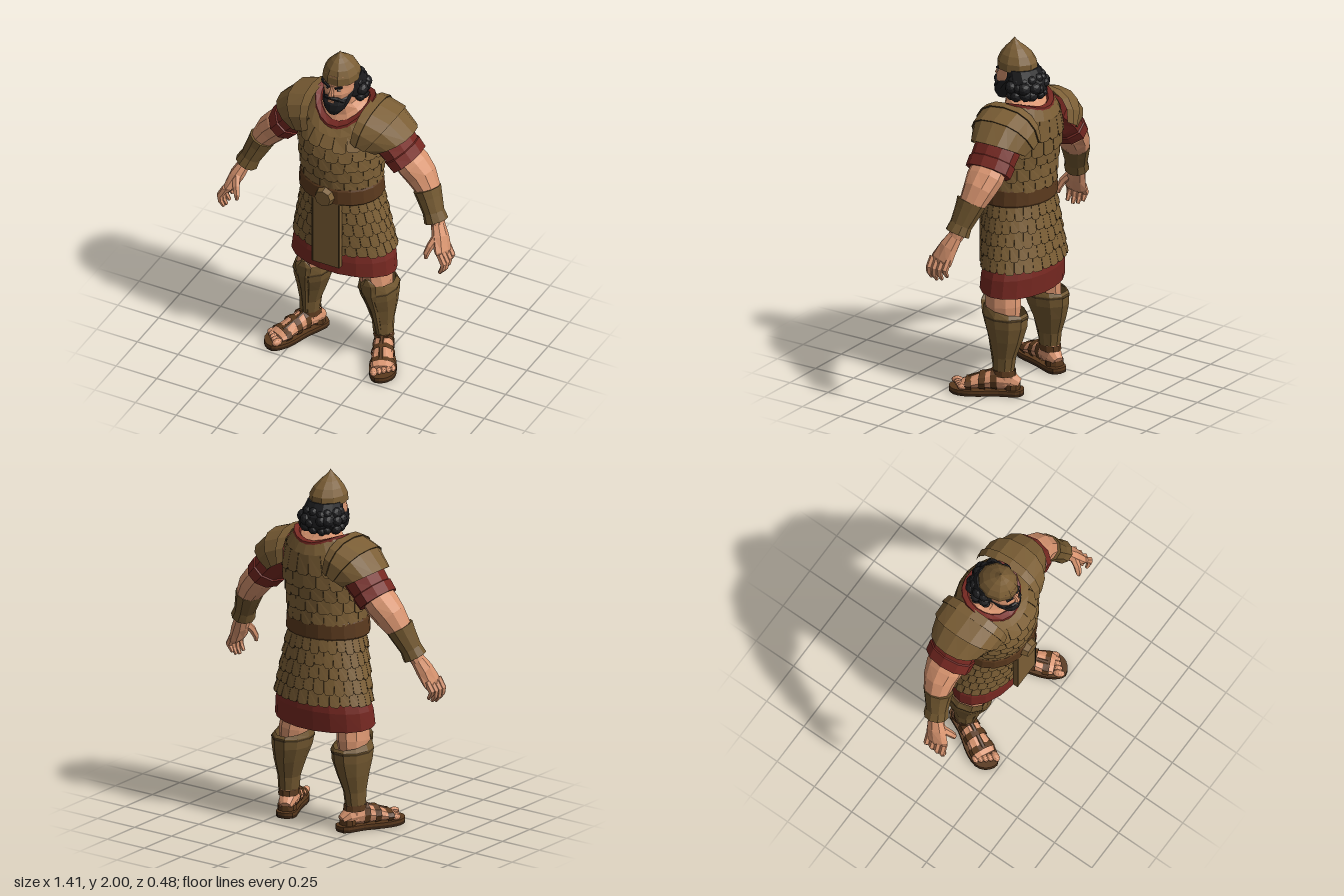
import * as THREE from 'three';

const V = (x, y, z) => new THREE.Vector3(x, y, z);
const mat = (name, color, side = THREE.FrontSide) => {
  const m = new THREE.MeshStandardMaterial({ color, side });
  m.name = name;
  return m;
};

// faceted geometry from a list of triangle corners
function faceted(points) {
  const g = new THREE.BufferGeometry().setFromPoints(points);
  g.computeVertexNormals();
  return g;
}

// skin over rows of points
function grid(rows) {
  const out = [];
  for (let i = 0; i + 1 < rows.length; i++)
    for (let j = 0; j + 1 < rows[i].length; j++) {
      const a = rows[i][j], b = rows[i][j + 1], c = rows[i + 1][j], d = rows[i + 1][j + 1];
      out.push(a, b, c, b, d, c);
    }
  return out;
}

// slope tips a section forward, rise lifts its sides
const warp = (p, slope = 0, rise = 0) => {
  p.y += rise * p.x * p.x - slope * p.z;
  return p;
};

// elliptical sections [x, y, z, halfWidth, halfDepth, slope, rise]; axis fixes the section normal
function loft(stations, { n = 10, caps = true, axis = null, ref = V(0, 0, 1) } = {}) {
  const c = stations.map(s => V(s[0], s[1], s[2]));
  const rows = stations.map((s, i) => {
    const t = axis || c[Math.min(i + 1, c.length - 1)].clone().sub(c[Math.max(i - 1, 0)]).normalize();
    const u = t.clone().cross(ref).normalize(), w = t.clone().cross(u);
    return Array.from({ length: n + 1 }, (_, j) => {
      const a = (j % n) / n * Math.PI * 2;
      const p = c[i].clone().addScaledVector(u, s[3] * Math.cos(a)).addScaledVector(w, s[4] * Math.sin(a));
      return warp(p, s[5], s[6]);
    });
  });
  const out = grid(rows), last = rows.length - 1;
  if (caps) for (let j = 0; j < n; j++) {
    const mid = r => r.slice(0, n).reduce((m, p) => m.add(p), V(0, 0, 0)).divideScalar(n);
    out.push(mid(rows[0]), rows[0][j + 1], rows[0][j], mid(rows[last]), rows[last][j], rows[last][j + 1]);
  }
  return faceted(out);
}
const UP = V(0, 1, 0);

// point on an upright body of sections, pushed outward
function bodyPoint(st, y, a, push) {
  let i = 0;
  while (i < st.length - 2 && y > st[i + 1][1]) i++;
  const k = (y - st[i][1]) / (st[i + 1][1] - st[i][1]);
  const m = q => THREE.MathUtils.lerp(st[i][q] || 0, st[i + 1][q] || 0, k);
  return warp(V((m(3) + push) * Math.sin(a), y, m(2) + (m(4) + push) * Math.cos(a)), m(5), m(6));
}

export function createModel() {
  const model = new THREE.Group();
  model.name = 'armouredWarrior';
  const M = {
    bronze: mat('bronze', 0x7b5e35, THREE.DoubleSide),
    aged: mat('agedBronze', 0x70562f, THREE.DoubleSide),
    dark: mat('darkBronze', 0x44341d, THREE.DoubleSide),
    red: mat('redCloth', 0x762821, THREE.DoubleSide),
    skin: mat('skin', 0xd8946f),
    hair: mat('blackHair', 0x1d1d1f),
    leather: mat('leather', 0x5a391d, THREE.DoubleSide),
    sole: mat('darkSole', 0x382414),
    white: mat('eyeWhite', 0xd8d0c4),
  };
  let seed = 7;
  const rnd = () => (seed = (seed * 16807) % 2147483647) / 2147483647;

  function add(name, geo, material, parent = model) {
    const g = geo.index ? geo.toNonIndexed() : geo;
    g.computeVertexNormals();
    const mesh = new THREE.Mesh(g, material);
    mesh.name = name;
    parent.add(mesh);
    return mesh;
  }
  const upright = (name, st, material, n = 16, caps = true, parent = model) =>
    add(name, loft(st, { n, caps, axis: UP }), material, parent);

  // overlapping scale rows on a body
  function scales(name, st, top, bottom, count, per) {
    const face = [], lip = [], h = (top - bottom) / count;
    const outline = [[-1, 0], [-1, 0.84], [-0.6, 1], [0.6, 1], [1, 0.86], [1, 0]];
    for (let r = 0; r < count; r++)
      for (let k = 0; k < per; k++) {
        const mid = (k + (r % 2) / 2) / per * Math.PI * 2, drop = h * (1 + 0.25 * rnd());
        const at = ([u, v], push) =>
          bodyPoint(st, Math.max(top - r * h - v * drop, bottom - 0.01), mid + u * 0.485 / per * Math.PI * 2, push);
        const o = outline.map(q => at(q, 0.004 + 0.011 * q[1])), b = outline.map(q => at(q, -0.002));
        for (let i = 1; i < 5; i++) face.push(o[0], o[i], o[i + 1]);
        for (let i = 0; i < 5; i++) lip.push(o[i], b[i], b[i + 1], o[i], b[i + 1], o[i + 1]);
      }
    add(name, faceted(face), M.bronze);
    add(name + 'Edges', faceted(lip), M.dark);
  }

  // cuirass, skirt and tunic
  const torso = [[0, 1.12, 0, 0.213, 0.182], [0, 1.3, 0.008, 0.232, 0.2], [0, 1.42, -0.005, 0.244, 0.212],
    [0, 1.48, -0.015, 0.246, 0.204, 0.08], [0, 1.535, -0.028, 0.215, 0.19, 0.18, 1.2], [0, 1.572, -0.035, 0.165, 0.162, 0.28, 3]];
  const skirt = [[0, 0.73, -0.032, 0.291, 0.188], [0, 0.92, -0.015, 0.255, 0.184], [0, 1.12, 0, 0.214, 0.178]];
  upright('cuirassBacking', torso, M.bronze, 20, false);
  scales('cuirassScales', torso, 1.535, 1.18, 5, 20);
  upright('skirtBacking', skirt, M.dark, 20, false);
  scales('skirtScales', skirt, 1.1, 0.73, 5, 28);
  upright('tunicHem', [[0, 0.585, -0.02, 0.312, 0.186, -0.08], [0, 0.68, -0.025, 0.302, 0.186], [0, 0.76, -0.028, 0.275, 0.17]], M.red, 18, false);
  upright('collar', [[0, 1.56, -0.034, 0.17, 0.164, 0.28, 3], [0, 1.585, -0.034, 0.166, 0.158, 0.28, 3], [0, 1.598, -0.034, 0.138, 0.128, 0.28, 3], [0, 1.58, -0.034, 0.12, 0.11, 0.28, 3]], M.red, 18, false);
  upright('neck', [[0, 1.575, -0.034, 0.142, 0.132, 0.28, 3], [0, 1.615, -0.03, 0.112, 0.105, 0.24, 3], [0, 1.67, -0.015, 0.08, 0.085, 0.12], [0, 1.8, 0, 0.072, 0.08]], M.skin, 12);

  // belt, buckle and hanging panel
  upright('belt', [[0, 1.09, 0.008, 0.24, 0.2], [0, 1.1, 0.008, 0.245, 0.205], [0, 1.18, 0.008, 0.238, 0.203], [0, 1.19, 0.008, 0.232, 0.198]], M.leather, 20);
  const buckle = add('buckle', new THREE.CylinderGeometry(0.048, 0.058, 0.035, 8), M.bronze);
  buckle.position.set(0, 1.135, 0.222);
  buckle.rotation.x = Math.PI / 2;
  add('frontPanel', new THREE.BoxGeometry(0.17, 0.43, 0.03), M.bronze).position.set(0, 0.885, 0.188);
  for (const s of [1, -1])
    add('panelBorder', new THREE.BoxGeometry(0.005, 0.42, 0.006), M.dark).position.set(s * 0.08, 0.885, 0.202);

  // head and face
  const head = new THREE.Group();
  head.name = 'head';
  model.add(head);
  upright('face', [[0, 1.67, 0.06, 0.045, 0.06], [0, 1.73, 0.045, 0.076, 0.088], [0, 1.775, 0.037, 0.085, 0.1], [0, 1.805, 0.03, 0.085, 0.092], [0, 1.88, 0.02, 0.085, 0.1]], M.skin, 14, true, head);
  add('nose', loft([[0, 1.815, 0.118, 0.009, 0.01], [0, 1.785, 0.136, 0.012, 0.012], [0, 1.77, 0.142, 0.019, 0.014], [0, 1.762, 0.13, 0.014, 0.01]], { n: 6 }), M.skin, head);
  for (const s of [1, -1]) {
    const eye = add('eye', new THREE.SphereGeometry(0.01, 8, 6), M.white, head);
    eye.position.set(s * 0.034, 1.797, 0.113);
    eye.scale.set(1.2, 0.5, 0.6);
    add('pupil', new THREE.SphereGeometry(0.005, 6, 5), M.hair, head).position.set(s * 0.032, 1.797, 0.118);
    const brow = add('brow', new THREE.BoxGeometry(0.042, 0.009, 0.012), M.hair, head);
    brow.position.set(s * 0.036, 1.815, 0.117);
    brow.rotation.set(0, s * 0.35, s * 0.22);
    add('moustache', loft([[0, 1.752, 0.143, 0.009, 0.012], [s * 0.035, 1.748, 0.13, 0.011, 0.012], [s * 0.06, 1.725, 0.105, 0.008, 0.01]], { n: 6 }), M.hair, head);
  }
  upright('beard', [[0, 1.637, 0.105, 0.03, 0.03], [0, 1.67, 0.09, 0.06, 0.06], [0, 1.71, 0.072, 0.078, 0.078], [0, 1.74, 0.05, 0.085, 0.084], [0, 1.775, 0.015, 0.09, 0.075], [0, 1.83, 0, 0.09, 0.055]], M.hair, 12, true, head);
  add('lips', new THREE.BoxGeometry(0.036, 0.01, 0.008), M.skin, head).position.set(0, 1.73, 0.142);
  upright('hairBase', [[0, 1.68, -0.055, 0.09, 0.08], [0, 1.72, -0.05, 0.122, 0.105], [0, 1.77, -0.045, 0.118, 0.108], [0, 1.84, -0.02, 0.098, 0.09]], M.hair, 12, true, head);
  for (let r = 0; r < 3; r++)
    for (let k = 0; k < 9; k++) {
      const a = (k - 4 + (rnd() - 0.5) * 0.6) * 0.47, q = [0.102, 0.108, 0.092][r];
      const curl = add('curl', new THREE.IcosahedronGeometry(0.024 + rnd() * 0.014, 1), M.hair, head);
      curl.position.set(q * Math.sin(a), 1.7 + r * 0.042 + (rnd() - 0.5) * 0.02, -0.04 - (q - 0.008) * Math.cos(a));
    }

  // pointed helmet
  upright('helmet', [[0, 1.828, 0.012, 0.102, 0.117], [0, 1.87, 0.012, 0.1, 0.114], [0, 1.91, 0.015, 0.08, 0.092], [0, 1.945, 0.022, 0.05, 0.058], [0, 1.965, 0.027, 0.027, 0.032], [0, 1.985, 0.03, 0.01, 0.012], [0, 2, 0.03, 0.001, 0.001]], M.bronze, 10, true, head);

  for (const s of [1, -1]) {
    const side = new THREE.Group();
    side.name = s > 0 ? 'leftSide' : 'rightSide';
    model.add(side);
    const limb = (name, st, material, opt) =>
      add(name, loft(st.map(([x, ...r]) => [x * s, ...r]), opt), material, side);

    // layered shoulder guard: arched rings [baseX, baseY, topX, topY, z, halfDepth]
    const rings = [[0.13, 1.51, 0.152, 1.674, -0.032, 0.198], [0.165, 1.49, 0.205, 1.662, -0.036, 0.198],
      [0.21, 1.465, 0.315, 1.618, -0.042, 0.185], [0.255, 1.435, 0.402, 1.522, -0.05, 0.15]];
    const arch = (q, lift) => {
      const row = Array.from({ length: 9 }, (_, j) => {
        const a = Math.PI * (1 - j / 8), w = Math.sin(a) ** 0.85 * (1 + lift * 4);
        const c = Math.sign(Math.cos(a)) * Math.abs(Math.cos(a)) ** 0.85;
        return V(s * (q[0] + (q[2] - q[0]) * w), q[1] + (q[3] - q[1]) * w, q[4] + c * (q[5] + lift));
      });
      return s > 0 ? row : row.reverse();
    };
    for (let k = 0; k < 3; k++) {
      add('shoulderBand', faceted(grid([arch(rings[k], 0), arch(rings[k + 1], 0.01)])), M.bronze, side);
      add('shoulderBandEdge', faceted(grid([arch(rings[k + 1], 0.01), arch(rings[k + 1], -0.004)])), M.dark, side);
    }

    // sleeve, arm and bracer
    limb('sleeve', [[0.2, 1.53, -0.045, 0.09, 0.13], [0.3, 1.44, -0.05, 0.103, 0.135], [0.335, 1.4, -0.05, 0.096, 0.132],
      [0.338, 1.396, -0.05, 0.103, 0.14], [0.38, 1.348, -0.05, 0.098, 0.138]], M.red, { n: 10 });
    limb('arm', [[0.35, 1.39, -0.05, 0.077, 0.105], [0.41, 1.325, -0.05, 0.087, 0.108], [0.46, 1.27, -0.045, 0.085, 0.093],
      [0.51, 1.2, -0.03, 0.066, 0.076], [0.57, 1.08, 0.005, 0.046, 0.053], [0.598, 1.02, 0.02, 0.035, 0.043]], M.skin);
    limb('bracer', [[0.505, 1.21, -0.025, 0.074, 0.088], [0.525, 1.165, -0.015, 0.068, 0.078],
      [0.56, 1.09, 0.005, 0.058, 0.065], [0.582, 1.042, 0.015, 0.066, 0.071]], M.aged);

    // hand
    limb('palm', [[0.59, 1.04, 0.015, 0.034, 0.042], [0.622, 0.97, 0.045, 0.042, 0.058], [0.652, 0.9, 0.07, 0.034, 0.07], [0.662, 0.875, 0.075, 0.022, 0.062]], M.skin, { n: 8 });
    for (let f = 0; f < 4; f++) {
      const z = 0.022 + f * 0.034, d = [0.03, 0.008, 0, 0.01][f];
      limb('finger', [[0.657, 0.91, z, 0.02, 0.018], [0.687, 0.855, z + 0.006, 0.02, 0.018], [0.682, 0.815 + d, z + 0.008, 0.016, 0.016], [0.662, 0.782 + d, z + 0.006, 0.01, 0.01]], M.skin, { n: 6 });
    }
    limb('thumb', [[0.615, 0.985, 0.07, 0.024, 0.025], [0.595, 0.935, 0.115, 0.021, 0.021], [0.582, 0.895, 0.132, 0.018, 0.017], [0.58, 0.865, 0.135, 0.01, 0.01]], M.skin, { n: 6 });

    // leg and greave
    limb('leg', [[0.15, 0.78, -0.02, 0.11, 0.12], [0.18, 0.6, -0.015, 0.085, 0.1], [0.195, 0.5, -0.025, 0.085, 0.105],
      [0.215, 0.3, -0.05, 0.055, 0.07], [0.225, 0.17, -0.05, 0.046, 0.054], [0.225, 0.06, -0.05, 0.047, 0.06]], M.skin);
    limb('greave', [[0.225, 0.145, -0.048, 0.056, 0.062], [0.222, 0.22, -0.05, 0.06, 0.07], [0.212, 0.32, -0.054, 0.085, 0.1],
      [0.203, 0.4, -0.048, 0.104, 0.126], [0.2, 0.46, -0.042, 0.108, 0.134], [0.196, 0.5, -0.038, 0.094, 0.126, -0.16]], M.aged, { n: 10, caps: false, axis: UP });
    limb('greaveRidge', [[0.226, 0.15, 0.008, 0.016, 0.01], [0.215, 0.32, 0.04, 0.024, 0.014], [0.203, 0.45, 0.08, 0.042, 0.018],
      [0.198, 0.52, 0.085, 0.05, 0.016], [0.194, 0.555, 0.085, 0.012, 0.01]], M.aged, { n: 6 });
    limb('greaveStrap', [[0.2, 0.446, -0.043, 0.11, 0.137], [0.2, 0.456, -0.043, 0.11, 0.137]], M.dark, { n: 10, caps: false, axis: UP });

    // sandalled foot, turned outward
    const foot = new THREE.Group();
    foot.name = 'foot';
    foot.position.set(s * 0.266, 0, 0.035);
    foot.rotation.y = s * 0.44;
    side.add(foot);
    const outline = new THREE.Shape(new THREE.SplineCurve([[0, -0.205], [0.052, -0.178], [0.056, -0.06], [0.078, 0.07], [0.066, 0.16], [0.012, 0.205], [-0.05, 0.195], [-0.074, 0.1], [-0.058, -0.03], [-0.052, -0.178], [0, -0.205]]
      .map(([x, z]) => new THREE.Vector2(x * s, -z))).getPoints(26));
    const slab = h => new THREE.ExtrudeGeometry(outline, { depth: h, bevelEnabled: false }).rotateX(-Math.PI / 2);
    add('sole', slab(0.016), M.sole, foot);
    add('insole', slab(0.016), M.leather, foot).position.y = 0.016;
    const along = { n: 10, ref: UP };
    const footPart = (name, st, m, o) => add(name, loft(st.map(([x, ...r]) => [x * s, ...r]), o), m, foot);
    footPart('instep', [[0, 0.06, -0.178, 0.032, 0.03], [0, 0.078, -0.14, 0.048, 0.05], [0, 0.085, -0.06, 0.053, 0.06],
      [0, 0.07, 0.03, 0.058, 0.044], [0, 0.052, 0.11, 0.066, 0.027], [0, 0.048, 0.135, 0.06, 0.021]], M.skin, along);
    for (let t = 0; t < 5; t++) {
      const toe = add('toe', new THREE.IcosahedronGeometry(t ? 0.016 : 0.021, 1), M.skin, foot);
      toe.position.set(s * (-0.046 + t * 0.025 + (t ? 0.005 : 0)), 0.047, 0.168 - t * 0.01);
      toe.scale.z = 1.6;
    }
    for (const [z, w, y, h] of [[0.095, 0.07, 0.054, 0.035], [0.02, 0.064, 0.072, 0.051], [-0.045, 0.058, 0.085, 0.063]])
      footPart('footStrap', [[0, y, z - 0.018, w, h + 0.005], [0, y, z + 0.018, w + 0.002, h]], M.leather, { ...along, caps: false });
    footPart('middleStrap', [[-0.01, 0.084, 0.1, 0.014, 0.008], [-0.01, 0.114, 0.02, 0.014, 0.008], [-0.008, 0.138, -0.045, 0.012, 0.008]], M.leather, { n: 6, ref: UP });
    footPart('ankleStrap', [[0, 0.112, -0.094, 0.058, 0.07], [0, 0.145, -0.094, 0.055, 0.066]], M.leather, { n: 10, axis: UP, caps: false });
    footPart('heelStrap', [[0, 0.035, -0.14, 0.053, 0.047], [0, 0.066, -0.14, 0.052, 0.046]], M.leather, { n: 10, axis: UP, caps: false });
  }
  return model;
}
